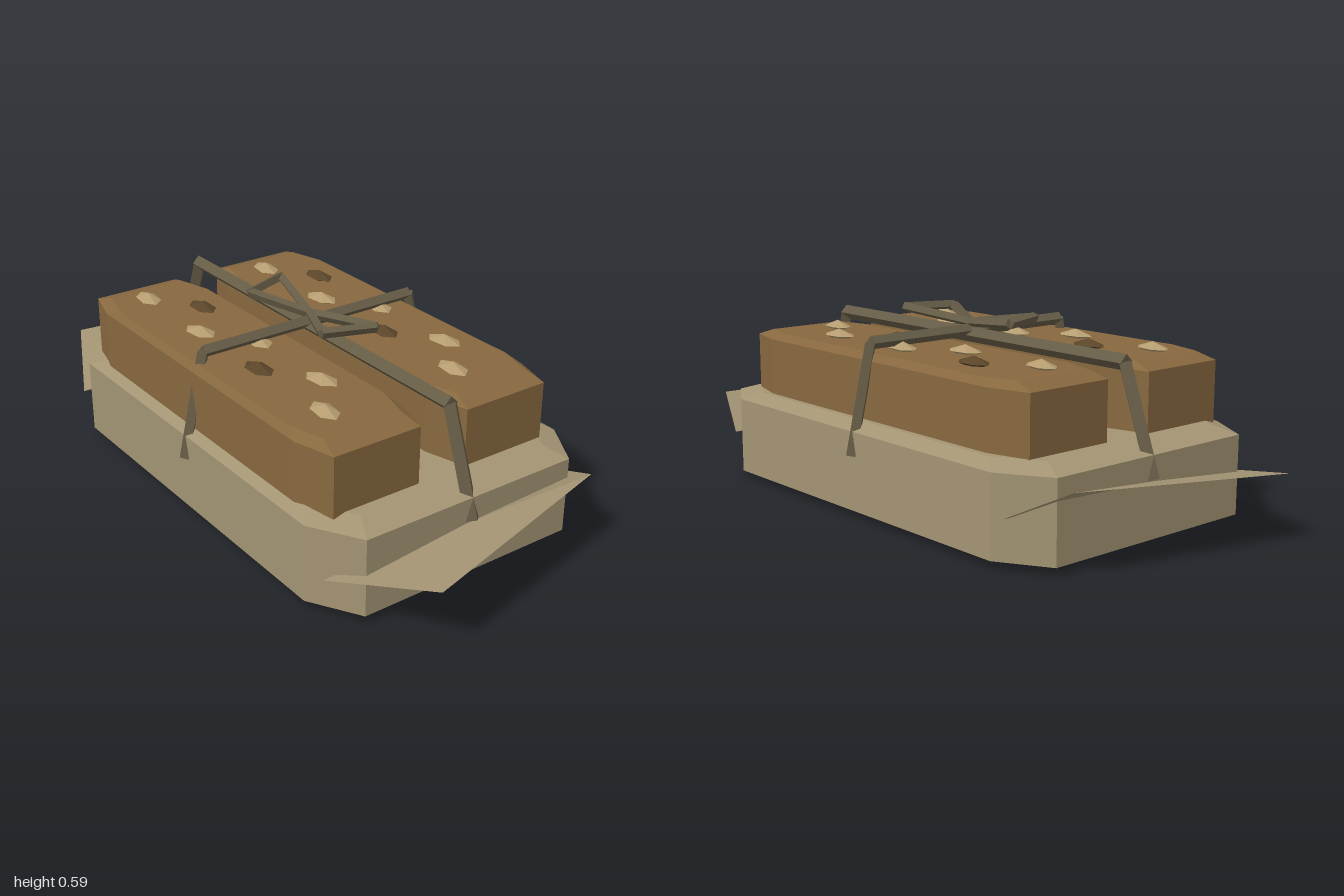
import * as THREE from 'three';

const paint = (color, side = THREE.FrontSide) =>
  new THREE.MeshStandardMaterial({ color, flatShading: true, side });

const mats = {
  tray: paint(0xa39473),
  wrap: paint(0xa39473, THREE.DoubleSide),
  bar: paint(0x87683f),
  string: paint(0x655c46),
  nutLight: paint(0xb59c70),
  nutDark: paint(0x5a4529),
};

function addMesh(parent, name, geometry, material) {
  const mesh = new THREE.Mesh(geometry, material);
  mesh.name = name;
  parent.add(mesh);
  return mesh;
}

// Block with cut corners, lofted through rings given as [height, scale]
function cutCornerBlock(hx, hz, rings) {
  const k = 0.8;
  const outline = [[1, k], [1, -k], [k, -1], [-k, -1], [-1, -k], [-1, k], [-k, 1], [k, 1]];
  const n = outline.length;
  const positions = [];
  for (const [y, s] of rings) for (const [x, z] of outline) positions.push(x * hx * s, y, z * hz * s);
  const index = [];
  const top = (rings.length - 1) * n;
  for (let r = 0; r < rings.length - 1; r++) {
    for (let i = 0; i < n; i++) {
      const a = r * n + i, b = r * n + (i + 1) % n;
      index.push(a, b, b + n, a, b + n, a + n);
    }
  }
  for (let i = 1; i < n - 1; i++) {
    index.push(0, i + 1, i);
    index.push(top, top + i, top + i + 1);
  }
  const g = new THREE.BufferGeometry();
  g.setAttribute('position', new THREE.Float32BufferAttribute(positions, 3));
  g.setIndex(index);
  const flat = g.toNonIndexed();
  flat.computeVertexNormals();
  return flat;
}

// Four-sided strand with a diamond section between two points
function addStrand(parent, name, from, to, radius) {
  const a = new THREE.Vector3(...from), b = new THREE.Vector3(...to);
  const dir = b.clone().sub(a);
  const strand = addMesh(parent, name, new THREE.CylinderGeometry(radius, radius, dir.length(), 4), mats.string);
  strand.position.copy(a).add(b).multiplyScalar(0.5);
  strand.quaternion.setFromUnitVectors(new THREE.Vector3(0, 1, 0), dir.normalize());
}

// Thin folded sheet sticking out of the tray's end
function wrapFlap(side) {
  const corners = [[0.69, 0.13, 0.455], [1, 0.207, 0.305], [0.845, 0.245, -0.385], [0.66, 0.148, -0.46]];
  const g = new THREE.BufferGeometry();
  const p = corners.flatMap(([x, y, z]) => [x * side, y, z]);
  g.setAttribute('position', new THREE.Float32BufferAttribute(p, 3));
  g.setIndex(side > 0 ? [0, 1, 2, 0, 2, 3] : [0, 2, 1, 0, 3, 2]);
  const flat = g.toNonIndexed();
  flat.computeVertexNormals();
  return flat;
}

export function createModel() {
  const model = new THREE.Group();
  model.name = 'tiedBars';

  // Tray and its wrapping flaps
  addMesh(model, 'tray', cutCornerBlock(0.77, 0.462, [[0, 0.9], [0.024, 1], [0.266, 1], [0.29, 0.9]]), mats.tray);
  addMesh(model, 'leftFlap', wrapFlap(1), mats.wrap);
  addMesh(model, 'rightFlap', wrapFlap(-1), mats.wrap);

  // Two bars, each with two staggered rows of nuts
  const barGeometry = cutCornerBlock(0.655, 0.183, [[0.25, 0.9], [0.27, 1], [0.469, 1], [0.49, 0.9]]);
  const nutGeometry = new THREE.SphereGeometry(1, 6, 2);
  for (const [name, z] of [['frontBar', 0.247], ['backBar', -0.213]]) {
    const bar = new THREE.Group();
    bar.name = name;
    bar.position.z = z;
    model.add(bar);
    addMesh(bar, 'barBody', barGeometry, mats.bar);
    for (let i = 0; i < 7; i++) {
      const dark = i === 1 || i === 4;
      const nut = addMesh(bar, 'nut', nutGeometry, dark ? mats.nutDark : mats.nutLight);
      nut.position.set(-0.5 + i * 0.162, 0.497, i % 2 ? -0.065 : 0.042);
      nut.scale.set(0.063, 0.02, 0.036);
      nut.rotation.y = 0.12 * (i % 3 - 1);
    }
  }

  // Crossed strings with ends running down into the tray
  const strings = new THREE.Group();
  strings.name = 'strings';
  model.add(strings);
  addStrand(strings, 'longString', [-0.66, 0.508, 0], [0.66, 0.508, 0], 0.024);
  addStrand(strings, 'crossString', [0, 0.522, -0.387], [0, 0.522, 0.387], 0.02);
  for (const s of [-1, 1]) {
    addStrand(strings, 'longStringEnd', [s * 0.655, 0.508, 0], [s * 0.77, 0.195, 0], 0.024);
    addStrand(strings, 'crossStringEnd', [0, 0.522, s * 0.387], [0, 0.192, s * 0.463], 0.02);
  }

  // Bow with one triangular loop on each side
  const bow = new THREE.Group();
  bow.name = 'bow';
  model.add(bow);
  for (const s of [-1, 1]) {
    const loop = [[0, 0.547, 0], [s * 0.25, 0.574, -0.062], [s * 0.192, 0.574, 0.095]];
    loop.forEach((p, i) => addStrand(bow, 'bowLoop', p, loop[(i + 1) % 3], 0.016));
  }
  return model;
}
